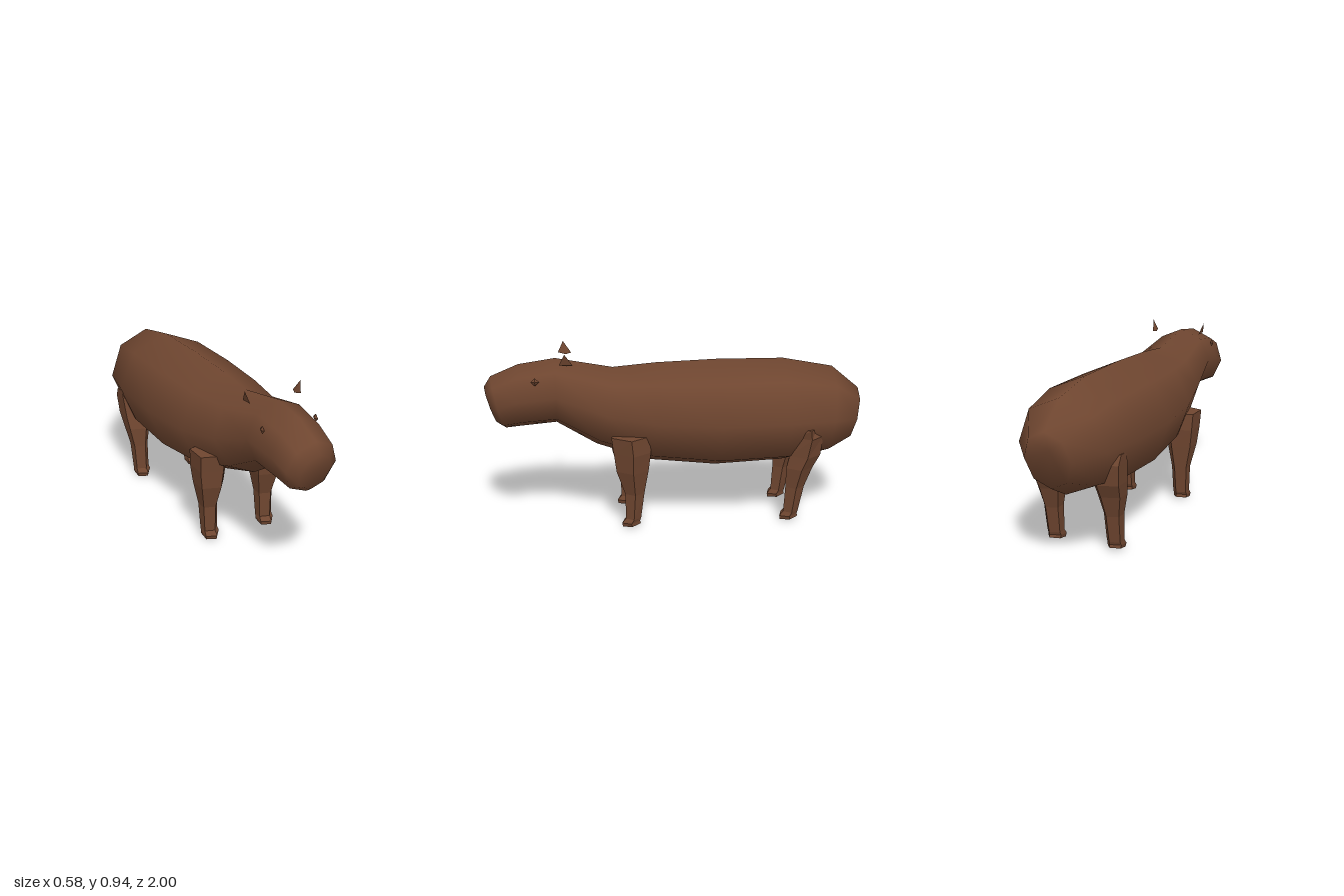
import * as THREE from 'three';

const hide = new THREE.MeshStandardMaterial({ color: 0x6f4630 });
hide.name = 'brownHide';
const flatHide = hide;

// Joins rings of points (each ring running so that ring direction x advance points outward)
function loft(rings, startTip, endTip, flat) {
  const n = rings[0].length;
  const points = [...rings.flat(), startTip, endTip];
  const first = rings.length * n, last = first + 1, end = (rings.length - 1) * n;
  const index = [];
  for (let j = 0; j < n; j++) {
    const k = (j + 1) % n;
    for (let i = 0; i < rings.length - 1; i++) {
      const a = i * n + j, b = i * n + k, c = b + n, d = a + n;
      index.push(a, b, c, a, c, d);
    }
    index.push(first, k, j, last, end + j, end + k);
  }
  let geo = new THREE.BufferGeometry().setFromPoints(points);
  geo.setIndex(index);
  if (flat) geo = geo.toNonIndexed();
  geo.computeVertexNormals();
  return geo;
}

function addMesh(parent, name, geo, material) {
  const mesh = new THREE.Mesh(geo, material);
  mesh.name = name;
  parent.add(mesh);
  return mesh;
}

// Head and trunk: top z, top y, bottom z, bottom y, half width
const bodySections = [
  [1.0, 0.75, 0.935, 0.55, 0.085],
  [0.965, 0.805, 0.895, 0.523, 0.138],
  [0.82, 0.865, 0.82, 0.53, 0.152],
  [0.63, 0.892, 0.63, 0.545, 0.17],
  [0.33, 0.835, 0.42, 0.415, 0.208],
  [0.1, 0.853, 0.14, 0.315, 0.258],
  [-0.22, 0.862, -0.22, 0.272, 0.287],
  [-0.58, 0.857, -0.58, 0.285, 0.288],
  [-0.85, 0.805, -0.8, 0.32, 0.237],
  [-1.0, 0.68, -0.94, 0.39, 0.125],
];

function bodyGeometry() {
  const rings = bodySections.map(([zt, yt, zb, yb, w]) =>
    Array.from({ length: 8 }, (_, j) => {
      const a = (j / 8) * Math.PI * 2, t = (1 - Math.cos(a)) / 2;
      return new THREE.Vector3(w * Math.sin(a), yt + (yb - yt) * t, zt + (zb - zt) * t);
    }));
  return loft(rings, new THREE.Vector3(0, 0.66, 0.975), new THREE.Vector3(0, 0.58, -0.96), false);
}

// Five-sided legs: y, centre z, x radius, z radius, forward tilt
const frontLegSections = [
  [0.508, 0.255, 0.105, 0.105, 0],
  [0.42, 0.246, 0.1, 0.102, 0],
  [0.32, 0.246, 0.085, 0.088, 0],
  [0.19, 0.235, 0.053, 0.053, 0],
  [0.05, 0.243, 0.047, 0.042, 0],
  [0.03, 0.257, 0.05, 0.05, 0.1],
  [0.012, 0.252, 0.046, 0.05, 0.16],
];
const hindLegSections = [
  [0.525, -0.685, 0.105, 0.05, 0],
  [0.475, -0.69, 0.102, 0.082, 0],
  [0.37, -0.672, 0.092, 0.087, 0],
  [0.3, -0.645, 0.08, 0.075, 0],
  [0.19, -0.625, 0.053, 0.053, 0],
  [0.05, -0.607, 0.047, 0.042, 0],
  [0.03, -0.594, 0.05, 0.05, 0.1],
  [0.012, -0.598, 0.046, 0.05, 0.16],
];

function legGeometry(sections) {
  const rings = sections.map(([y, z, rx, rz, tilt]) =>
    Array.from({ length: 5 }, (_, j) => {
      const a = (j / 5) * Math.PI * 2, dz = rz * Math.sin(a);
      return new THREE.Vector3(rx * Math.cos(a), y - tilt * dz, z + dz);
    }));
  const top = sections[0], foot = sections[sections.length - 1];
  return loft(rings, new THREE.Vector3(0, top[0], top[1]), new THREE.Vector3(0, foot[0], foot[1]), true);
}

export function createModel() {
  const model = new THREE.Group();
  model.name = 'rodent';
  addMesh(model, 'body', bodyGeometry(), hide);

  // Legs share one shape, shifted sideways
  for (const [name, sections] of [['FrontLeg', frontLegSections], ['HindLeg', hindLegSections]]) {
    const geo = legGeometry(sections);
    addMesh(model, 'right' + name, geo, flatHide).position.x = -0.166;
    addMesh(model, 'left' + name, geo, flatHide).position.x = 0.169;
  }

  for (const [side, s] of [['left', 1], ['right', -1]]) {
    // Small pointed ear, three-sided and thin
    const ring = [[0.13, 0.879, 0.57], [0.141, 0.884, 0.54], [0.141, 0.888, 0.61]]
      .map(([x, y, z]) => new THREE.Vector3(s * x, y, z));
    if (s > 0) ring.reverse();
    const tip = new THREE.Vector3(s * 0.156, 0.945, 0.582);
    const base = new THREE.Vector3(s * 0.137, 0.884, 0.573);
    const ear = addMesh(model, side + 'Ear', loft([ring], base, tip, true), hide.clone());
    ear.material = earHide;

    // Diamond eye
    const eye = addMesh(model, side + 'Eye', new THREE.OctahedronGeometry(0.021), flatHide);
    eye.scale.x = 0.5;
    eye.position.set(s * 0.148, 0.805, 0.735);
  }
  return model;
}

// Thin ears show from both sides
const earHide = new THREE.MeshStandardMaterial({ color: 0x6f4630, side: THREE.DoubleSide });
earHide.name = 'brownEar';
